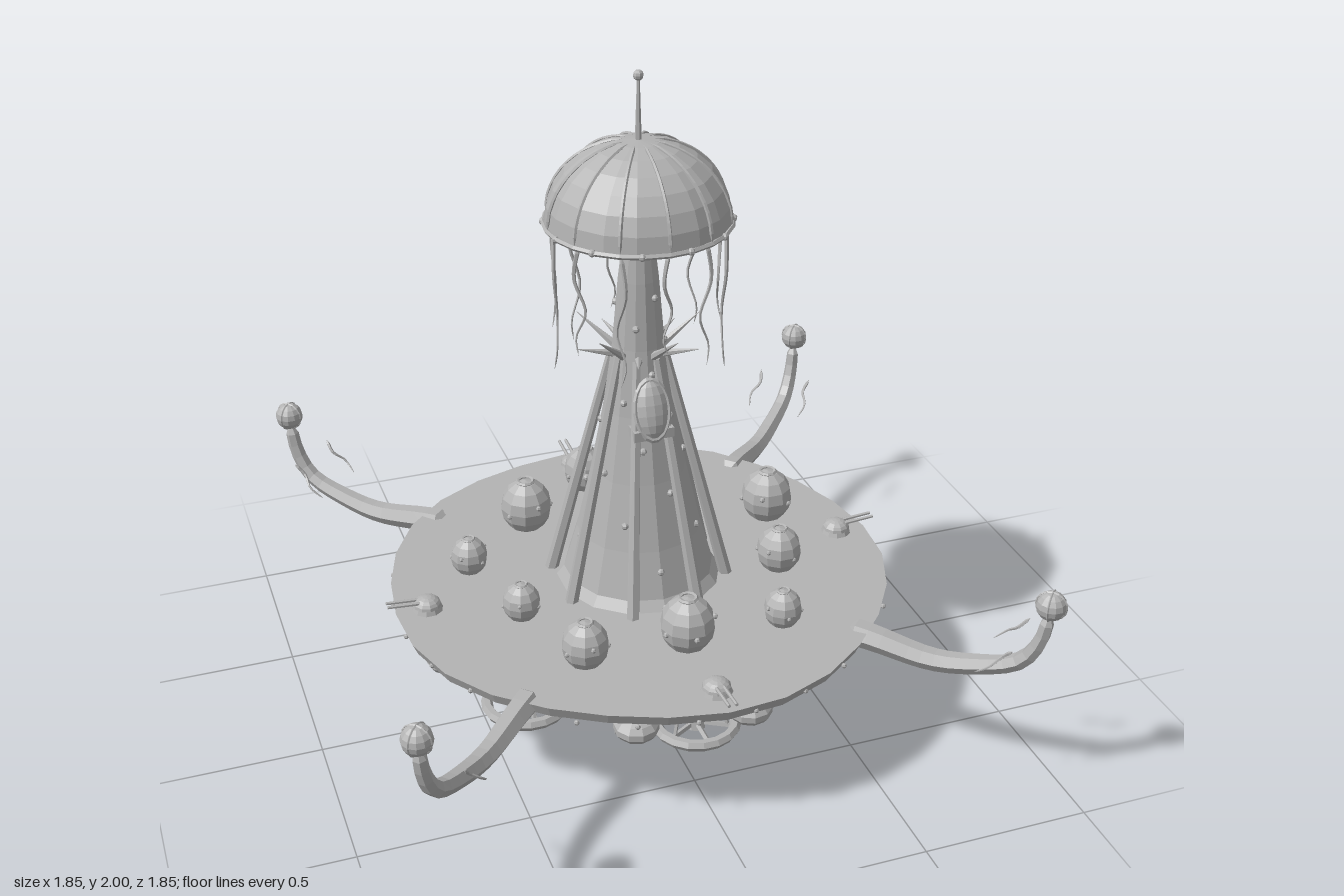
import * as THREE from 'three';

const grey = new THREE.MeshStandardMaterial({ color: 0xb3b3b3, flatShading: true });
grey.name = 'stone grey';
const V = (x, y, z) => new THREE.Vector3(x, y, z);
const UP = V(0, 1, 0);

function add(parent, name, geo, x = 0, y = 0, z = 0) {
  const m = new THREE.Mesh(geo, grey);
  m.name = name;
  m.position.set(x, y, z);
  parent.add(m);
  return m;
}

// Sub-group turned about the vertical axis; its local +z points outward
function spoke(parent, name, angle) {
  const g = new THREE.Group();
  g.name = name;
  g.rotation.y = angle;
  parent.add(g);
  return g;
}

function lathe(points, sides) {
  return new THREE.LatheGeometry(points.map(([r, y]) => new THREE.Vector2(r, y)), sides);
}

// Straight tapered rod between two points
function rod(parent, name, a, b, ra, rb, sides = 6) {
  const m = add(parent, name, new THREE.CylinderGeometry(rb, ra, a.distanceTo(b), sides));
  m.position.copy(a).lerp(b, 0.5);
  m.quaternion.setFromUnitVectors(UP, b.clone().sub(a).normalize());
  return m;
}

// Curved tube tapering from r0 to r1, closed at both ends
function taper(points, r0, r1, segs, sides) {
  const curve = new THREE.CatmullRomCurve3(points);
  const geo = new THREE.TubeGeometry(curve, segs, 1, sides);
  const p = geo.attributes.position, v = V(0, 0, 0);
  for (let i = 0; i <= segs; i++) {
    const c = curve.getPointAt(i / segs);
    const r = i === 0 || i === segs ? 0.0001 : r0 + (r1 - r0) * i / segs;
    for (let j = 0; j <= sides; j++) {
      const k = i * (sides + 1) + j;
      v.fromBufferAttribute(p, k).sub(c).multiplyScalar(r).add(c);
      p.setXYZ(k, v.x, v.y, v.z);
    }
  }
  return geo;
}

const trunk = [[0.255, 0.42], [0.225, 0.46], [0.185, 0.6], [0.14, 0.8], [0.103, 1.0],
  [0.075, 1.2], [0.058, 1.4], [0.045, 1.51], [0.034, 1.54], [0, 1.545]];
function trunkRadius(y) {
  const i = trunk.findIndex(p => p[1] >= y);
  const [a, b] = [trunk[i - 1], trunk[i]];
  return a[0] + (b[0] - a[0]) * (y - a[1]) / (b[1] - a[1]);
}

function buildHull(root) {
  // Cone-bottomed disc with a slightly wavy rim
  const geo = lathe([[0, 0], [0.09, 0], [0.28, 0.165], [0.47, 0.325], [0.735, 0.395], [0.75, 0.43], [0, 0.43]], 28);
  const p = geo.attributes.position;
  for (let i = 0; i < p.count; i++) {
    const x = p.getX(i), z = p.getZ(i);
    if (Math.hypot(x, z) < 0.6) continue;
    const a = Math.atan2(x, z), k = 1 + 0.013 * Math.sin(5 * a + 0.8) + 0.009 * Math.sin(3 * a);
    p.setX(i, x * k);
    p.setZ(i, z * k);
  }
  add(root, 'hull', geo);
  for (let i = 0; i < 28; i++)
    add(spoke(root, 'rimStud', (i + 0.5) / 28 * Math.PI * 2), 'rimStud', new THREE.SphereGeometry(0.008, 6, 4), 0, 0.405, 0.745);
  // Bulging pods under the rim
  for (let i = 0; i < 12; i++) {
    const s = spoke(root, 'underPod', 0.18 + i * Math.PI / 6);
    const big = i % 3 !== 1;
    add(s, 'underPod', new THREE.SphereGeometry(big ? 0.066 : 0.056, 10, 7), 0, big ? 0.325 : 0.35, big ? 0.635 : 0.58).scale.y = 0.62;
  }
  // Downward spikes
  for (let i = 0; i < 6; i++) {
    const s = spoke(root, 'keelSpike', Math.PI / 6 + i * Math.PI / 3);
    rod(s, 'keelSpike', V(0, 0.23, 0.33), V(0, 0.08, 0.365), 0.03, 0.001, 8);
  }
}

function buildRotors(root) {
  for (let i = 0; i < 6; i++) {
    const s = spoke(root, 'rotor', i * Math.PI / 3);
    const g = new THREE.Group();
    g.position.set(0, 0.217, 0.5);
    s.add(g);
    add(g, 'rotorRing', new THREE.TorusGeometry(0.115, 0.017, 6, 18)).rotation.x = Math.PI / 2;
    add(g, 'rotorHub', new THREE.CylinderGeometry(0.022, 0.03, 0.03, 8));
    rod(g, 'rotorStem', V(0, 0, 0), V(0, 0.13, 0), 0.01, 0.014);
    for (let k = 0; k < 6; k++) {
      const a = k * Math.PI / 3, x = Math.sin(a) * 0.115, z = Math.cos(a) * 0.115;
      rod(g, 'rotorSpoke', V(0, 0, 0), V(x, 0, z), 0.008, 0.008, 4);
      if (k % 3) rod(g, 'rotorHanger', V(x * 0.8, 0, z * 0.8), V(x * 0.6, z < 0 ? 0.09 : 0.13, z * 0.6), 0.006, 0.006, 4);
    }
  }
}

function buildDeck(root) {
  // Ribbed eggs: x, z, radius
  const eggs = [[0, -0.52, 0.07], [-0.25, -0.35, 0.08], [0.25, -0.35, 0.056], [-0.485, -0.16, 0.056],
    [0.485, -0.16, 0.08], [-0.405, 0.13, 0.056], [0.405, 0.13, 0.068], [-0.3, 0.41, 0.068], [0.3, 0.41, 0.056], [0, 0.425, 0.08]];
  for (const [x, z, r] of eggs) {
    const g = new THREE.Group();
    g.name = 'deckEgg';
    g.position.set(x, 0.425 + r, z);
    root.add(g);
    add(g, 'eggShell', new THREE.SphereGeometry(r, 10, 8)).scale.y = 1.12;
    add(g, 'eggCollar', new THREE.TorusGeometry(r * 0.3, r * 0.08, 5, 10), 0, r * 1.07, 0).rotation.x = Math.PI / 2;
    for (let k = 0; k < 5; k++) {
      const a = k * Math.PI * 0.4 + x * 4;
      add(g, 'eggStud', new THREE.SphereGeometry(r * 0.11, 6, 4), Math.sin(a) * r * 0.96, r * (k % 2 ? 0.3 : -0.1), Math.cos(a) * r * 0.96);
    }
  }
  // Twin-barrelled turrets
  for (let i = 0; i < 4; i++) {
    const s = spoke(root, 'turret', i * Math.PI / 2);
    add(s, 'turretBase', new THREE.CylinderGeometry(0.04, 0.048, 0.02, 10), 0, 0.435, 0.655);
    add(s, 'turretDome', new THREE.SphereGeometry(0.042, 10, 5, 0, Math.PI * 2, 0, Math.PI / 2), 0, 0.443, 0.655).scale.y = 0.7;
    for (const x of [-0.011, 0.011]) rod(s, 'turretBarrel', V(x, 0.458, 0.66), V(x, 0.466, 0.775), 0.006, 0.005);
  }
}

function buildArms(root) {
  for (let i = 0; i < 4; i++) {
    const s = spoke(root, 'arm', Math.PI / 4 + i * Math.PI / 2);
    add(s, 'armLimb', taper([V(0, 0.41, 0.66), V(0, 0.405, 0.75), V(0, 0.385, 0.93), V(0, 0.405, 1.05),
      V(0, 0.455, 1.18), V(0, 0.53, 1.23), V(0, 0.64, 1.252)], 0.042, 0.019, 18, 6));
    add(s, 'armOrb', new THREE.SphereGeometry(0.043, 12, 8), 0, 0.662, 1.252);
    for (const a of [0, Math.PI / 2]) add(s, 'orbBand', new THREE.TorusGeometry(0.043, 0.003, 4, 16), 0, 0.662, 1.252).rotation.y = a;
    for (const x of [-1, 1])
      add(s, 'armWisp', taper([V(0.09 * x, 0.545, 1.18), V(0.08 * x, 0.51, 1.15), V(0.1 * x, 0.48, 1.12),
        V(0.09 * x, 0.445, 1.08)], 0.006, 0.002, 10, 5));
  }
}

function buildTower(root) {
  add(root, 'trunk', lathe([[0, 0.42], ...trunk], 14));
  // Leaning buttresses
  for (let i = 0; i < 8; i++)
    rod(spoke(root, 'buttress', Math.PI / 8 + i * Math.PI / 4), 'buttress', V(0, 0.42, 0.265), V(0, 1.17, 0.075), 0.02, 0.013);
  // Studs spiralling up the trunk
  for (let i = 0; i < 30; i++) {
    const y = 0.54 + i * 0.028;
    add(spoke(root, 'trunkStud', i * 2.4), 'trunkStud', new THREE.SphereGeometry(0.011, 6, 5), 0, y, trunkRadius(y));
  }
  // Thorn crown
  for (let i = 0; i < 10; i++) {
    const s = spoke(root, 'thorn', i * Math.PI / 5 + 0.3);
    rod(s, 'thorn', V(0, 1.17, 0.06), i % 2 ? V(0, 1.2, 0.18) : V(0, 1.265, 0.185), 0.014, 0.001);
  }
  // Oval window pod on the front with its sill
  const pod = add(root, 'windowPod', new THREE.SphereGeometry(0.05, 12, 9), 0, 1.035, 0.113);
  pod.scale.set(1, 1.75, 0.65);
  pod.rotation.x = -0.3;
  const frame = add(root, 'windowFrame', new THREE.TorusGeometry(0.05, 0.007, 5, 18), 0, 1.035, 0.118);
  frame.scale.set(1, 1.7, 1);
  frame.rotation.x = -0.3;
  add(root, 'windowSill', new THREE.BoxGeometry(0.12, 0.03, 0.07), 0, 0.965, 0.105);
}

function buildBell(root) {
  const R = 0.262, H = 0.235, Y = 1.572;
  const arc = (t, k = 1) => [Math.cos(t) * R * k, Y + Math.sin(t) * H * k];
  const profile = [[0, Y]];
  for (let i = 0; i <= 7; i++) profile.push(arc(i / 7 * Math.PI / 2));
  add(root, 'bell', lathe(profile, 18));
  add(root, 'bellRim', new THREE.TorusGeometry(R, 0.008, 5, 24), 0, Y, 0).rotation.x = Math.PI / 2;
  for (let i = 0; i < 12; i++) {
    const s = spoke(root, 'bellSector', i * Math.PI / 6);
    const rib = [0, 0.25, 0.5, 0.75, 1, 1.25, 1.4].map(t => { const [r, y] = arc(t); return V(0, y, r); });
    add(s, 'bellRib', taper(rib, 0.006, 0.005, 12, 5));
    add(s, 'rimBead', new THREE.SphereGeometry(0.011, 6, 5), 0.06, Y, R * 0.98);
    // Trailing tentacle
    const L = 0.3 + 0.15 * ((i * 5 % 12) / 11), w = i % 2 ? 0.014 : -0.014;
    add(s, 'tentacle', taper([V(0, Y, 0.245), V(w, Y - L * 0.3, 0.25), V(-w, Y - L * 0.6, 0.235),
      V(w, Y - L * 0.85, 0.245), V(0, Y - L, 0.25)], 0.007, 0.002, 16, 5));
  }
  rod(root, 'mast', V(0, 1.79, 0), V(0, 1.98, 0), 0.01, 0.004);
  add(root, 'mastBall', new THREE.SphereGeometry(0.015, 8, 6), 0, 1.985, 0);
}

export function createModel() {
  const root = new THREE.Group();
  root.name = 'floatingTower';
  for (const build of [buildHull, buildRotors, buildDeck, buildArms, buildTower, buildBell]) build(root);
  return root;
}
